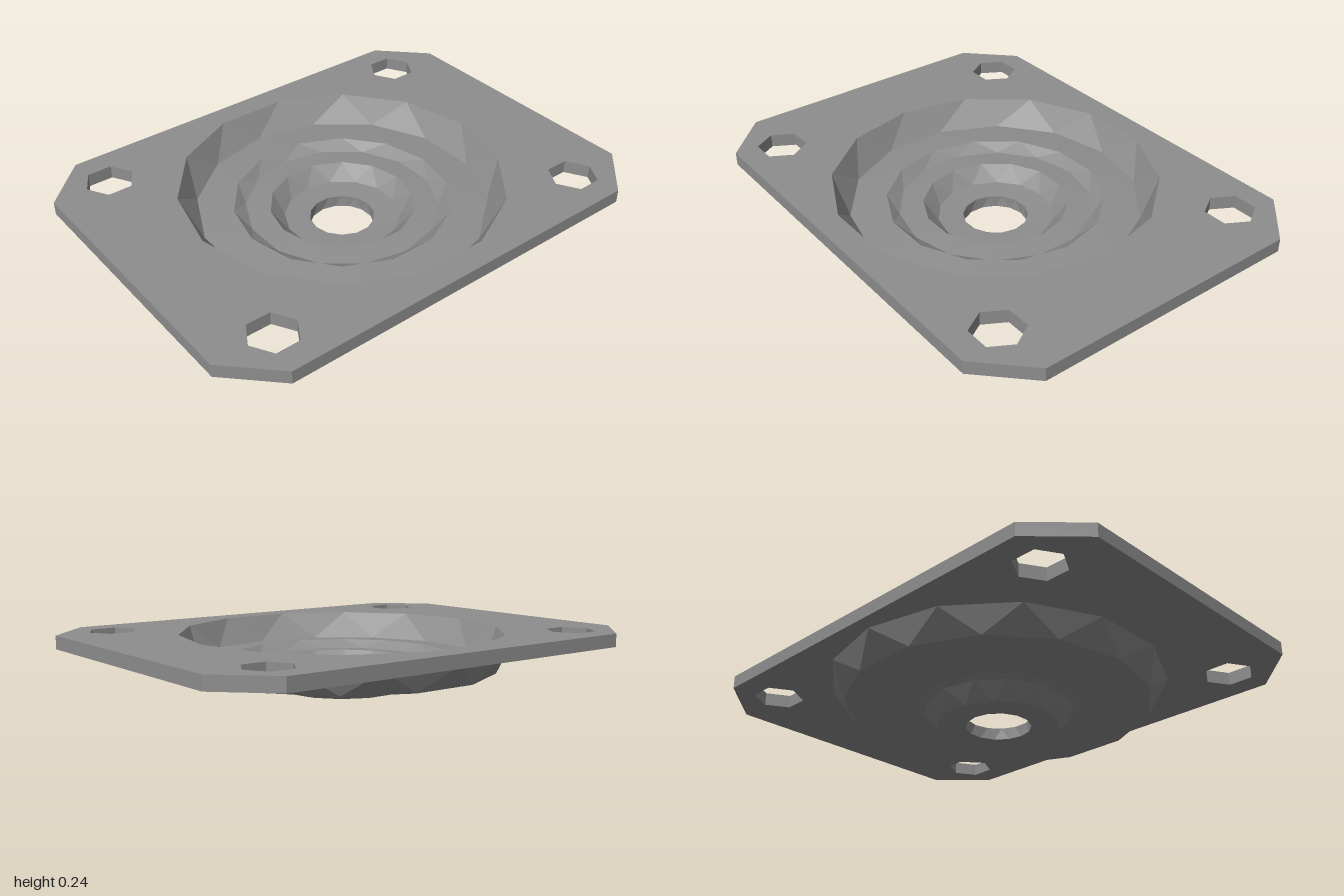
import * as THREE from 'three';

const SIDES = 14;
const PLATE_BOTTOM = 0.185;
const PLATE_TOP = 0.24;
const RIM = 0.67;
const RIM_INDEX = 7; // position of the rim in the dish profile

// Regular polygon outline whose corners line up with lathe segments
function polygon(PathType, cx, cy, radius, sides) {
  const points = [];
  for (let i = 0; i < sides; i++) {
    const a = (i / sides) * Math.PI * 2;
    points.push(new THREE.Vector2(cx + radius * Math.sin(a), cy - radius * Math.cos(a)));
  }
  return new PathType(points);
}

// Turns each ring half a step past the one before, giving triangular facets
function twistRings(geometry, ringCount) {
  const position = geometry.attributes.position;
  const axis = new THREE.Vector3(0, 1, 0);
  const vertex = new THREE.Vector3();
  for (let i = 0; i < position.count; i++) {
    const angle = ((i % ringCount) - RIM_INDEX) * Math.PI / SIDES;
    vertex.fromBufferAttribute(position, i).applyAxisAngle(axis, angle);
    position.setXYZ(i, vertex.x, vertex.y, vertex.z);
  }
  geometry.computeVertexNormals();
  return geometry;
}

export function createModel() {
  const group = new THREE.Group();
  group.name = 'flangedDish';
  const material = new THREE.MeshStandardMaterial({ color: 0x8e8e8e, flatShading: true });

  // Mounting plate with clipped corners, a large opening and four bolt holes
  const outline = [
    [0.57, -1], [0.76, -0.81], [0.76, 0.81], [0.57, 1],
    [-0.57, 1], [-0.76, 0.81], [-0.76, -0.81], [-0.57, -1],
  ].map(([x, y]) => new THREE.Vector2(x, y));
  const shape = new THREE.Shape(outline);
  shape.holes.push(polygon(THREE.Path, 0, 0, RIM, SIDES));
  for (const sx of [-1, 1]) {
    for (const sz of [-1, 1]) {
      shape.holes.push(polygon(THREE.Path, sx * 0.572, sz * 0.752, 0.102, 6));
    }
  }
  const plateGeometry = new THREE.ExtrudeGeometry(shape, {
    depth: PLATE_TOP - PLATE_BOTTOM, bevelEnabled: false,
  });
  plateGeometry.rotateX(-Math.PI / 2).translate(0, PLATE_BOTTOM, 0);
  const plate = new THREE.Mesh(plateGeometry, material);
  plate.name = 'mountingPlate';
  group.add(plate);

  // Corrugated dish: underside from the hole outwards, then the inside back to the hole
  const profile = [
    [0.135, 0], [0.25, 0], [0.31, 0.068], [0.34, 0.082], [0.42, 0.073],
    [0.635, 0.085], [0.7, PLATE_BOTTOM],
    [RIM, PLATE_TOP], [0.6, 0.13], [0.45, 0.142], [0.4, 0.108],
    [0.3, 0.115], [0.24, 0.055], [0.135, 0.05], [0.135, 0],
  ].map(([r, y]) => new THREE.Vector2(r, y));
  // Raised groove in the underside between the two outer ridges
  profile[4].set(0.43, 0.075);
  const dishGeometry = twistRings(new THREE.LatheGeometry(profile, SIDES), profile.length);
  const dish = new THREE.Mesh(dishGeometry, material);
  dish.name = 'corrugatedDish';
  group.add(dish);

  return group;
}
